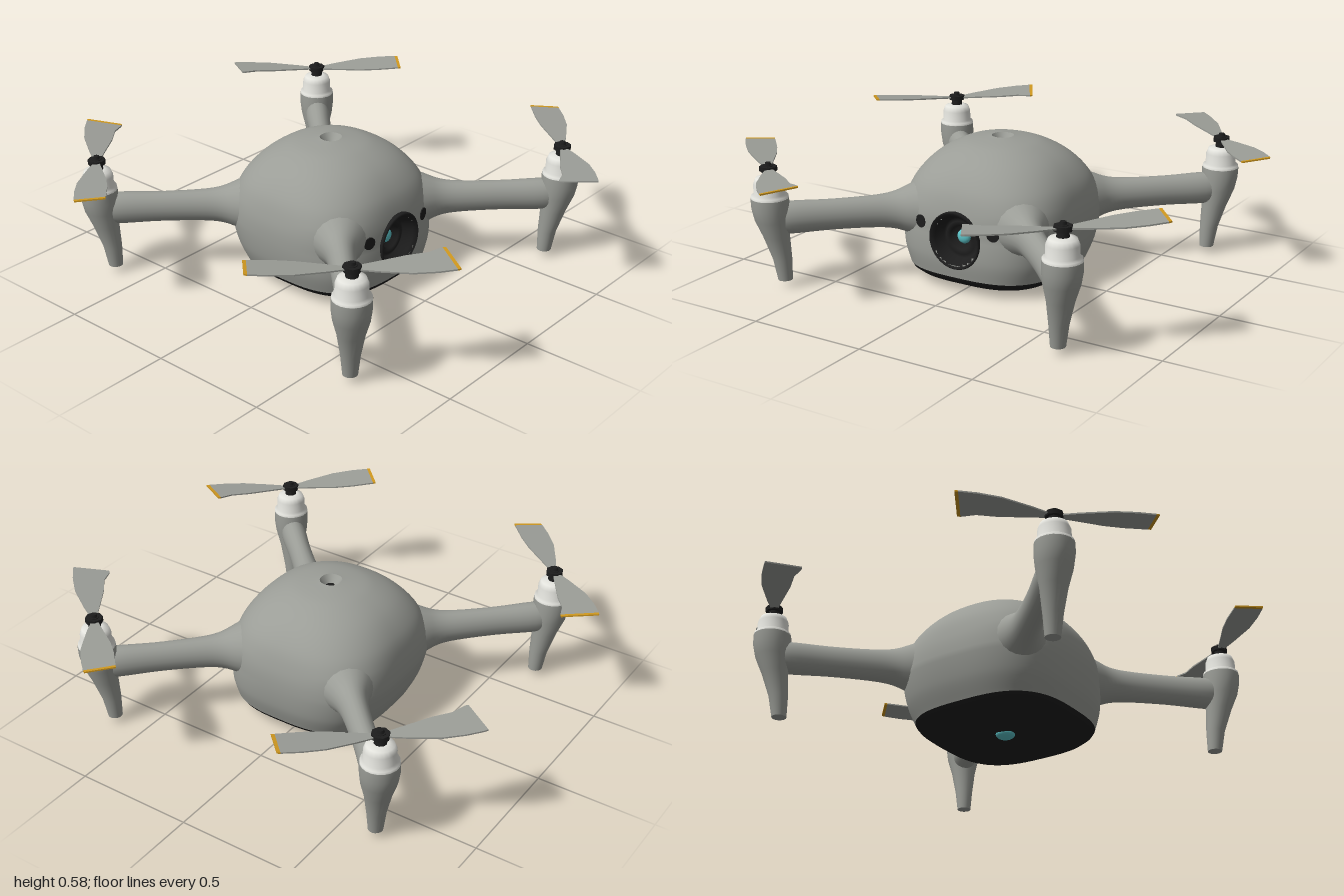
import * as THREE from 'three';

const mat = (name, color, side = THREE.FrontSide) => {
  const m = new THREE.MeshStandardMaterial({ color, side });
  m.name = name;
  return m;
};

// Skins a list of closed rings; quads whose centre satisfies skip() are left open
function loft(rings, skip) {
  const n = rings[0].length, pos = [], idx = [];
  rings.forEach(r => r.forEach(p => pos.push(p.x, p.y, p.z)));
  for (let i = 0; i < rings.length - 1; i++) {
    for (let j = 0; j < n; j++) {
      const k = (j + 1) % n;
      if (skip) {
        const mid = rings[i][j].clone().add(rings[i + 1][k]).multiplyScalar(0.5);
        if (skip(mid)) continue;
      }
      const a = i * n + j, b = i * n + k;
      idx.push(a, a + n, b, b, a + n, b + n);
    }
  }
  const g = new THREE.BufferGeometry();
  g.setAttribute('position', new THREE.Float32BufferAttribute(pos, 3));
  g.setIndex(idx);
  g.computeVertexNormals();
  return g;
}

const loop = (n, fn) => Array.from({ length: n }, (_, j) => fn((j / n) * Math.PI * 2));

// Rounded-square ring of the hull, rounder towards the top
function hullRing(a, y) {
  const n = y > 0.35 ? 3 - 0.8 * Math.min(1, (y - 0.35) / 0.2) : 3;
  const shift = -0.005 + 0.03 * Math.max(0, Math.min(1, (0.25 - y) / 0.2));
  return loop(112, t => {
    const c = Math.cos(t), s = Math.sin(t);
    const r = a / Math.pow(Math.abs(c) ** n + Math.abs(s) ** n, 1 / n);
    return new THREE.Vector3(r * c, y, r * s * 0.985 + shift);
  });
}

const spline = (pts, n) =>
  new THREE.SplineCurve(pts.map(p => new THREE.Vector2(...p))).getPoints(n);

export function createModel() {
  const model = new THREE.Group();
  const grey = mat('shell grey', 0x9b9d97);
  const white = mat('motor white', 0xe2e2dc);
  const black = mat('black', 0x1d1d1d, THREE.DoubleSide);
  const teal = mat('lens teal', 0x5cc3c8);
  const amber = mat('tip amber', 0xcf981f);

  const add = (parent, name, geo, material) => {
    const m = new THREE.Mesh(geo, material);
    m.name = name;
    parent.add(m);
    return m;
  };

  // Hull shell, open where the camera sits, with a small pit on top
  const hull = spline([[0.335, 0.07], [0.36, 0.15], [0.37, 0.25], [0.362, 0.34],
    [0.33, 0.43], [0.26, 0.51], [0.16, 0.563], [0.045, 0.584]], 56)
    .map(p => hullRing(p.x, p.y));
  hull.push(hullRing(0.045, 0.584), hullRing(0.022, 0.55));
  add(model, 'hull', loft(hull, p => p.z > 0 && Math.hypot(p.x, p.y - 0.23) < 0.108), grey);
  const pit = add(model, 'topPit', new THREE.CircleGeometry(0.028, 4), black);
  pit.rotation.x = -Math.PI / 2;
  pit.position.y = 0.553;

  // Black base with a recess for the downward lens
  const base = [[0, 0.04], [0.05, 0.04], [0.11, 0.03], [0.12, 0], [0.14, 0.006],
    [0.21, 0.01], [0.25, 0.015], [0.3, 0.035], [0.325, 0.055], [0.335, 0.07]];
  add(model, 'base', loft(base.map(p => hullRing(...p))), black);
  const belly = add(model, 'bellyLens', new THREE.SphereGeometry(0.04, 20, 12), teal);
  belly.scale.y = 0.5;
  belly.position.set(0, 0.038, 0.02);

  // Front camera bowl and lens
  const bowl = new THREE.LatheGeometry([[0, 0.285], [0.045, 0.285], [0.05, 0.315], [0.07, 0.315],
    [0.085, 0.31], [0.1, 0.352], [0.114, 0.37], [0.12, 0.364], [0.122, 0.33]]
    .map(p => new THREE.Vector2(...p)), 32);
  bowl.rotateX(Math.PI / 2);
  add(model, 'cameraBowl', bowl, black).position.y = 0.23;
  const lens = add(model, 'cameraLens', new THREE.SphereGeometry(0.03, 20, 14), teal);
  lens.scale.z = 0.6;
  lens.position.set(0, 0.23, 0.29);

  // Front sensors
  for (const s of [-1, 1]) {
    const g = new THREE.CylinderGeometry(0.027, 0.027, 0.03, 12);
    g.rotateX(Math.PI / 2);
    const m = add(model, 'sensor', g, black);
    m.position.set(s * 0.17, 0.28, 0.334);
    m.rotation.y = s * 0.23;
  }

  // Arm sections: distance from centre, half width, half height
  const armRings = spline([[0.32, 0.14], [0.39, 0.1], [0.46, 0.067], [0.55, 0.054],
    [0.72, 0.05], [0.88, 0.055], [0.95, 0.045]], 24)
    .map(p => loop(20, t => new THREE.Vector3(
      p.x, 0.295 + Math.cos(t) * (p.y * 0.75 + 0.027), -Math.sin(t) * p.y)));
  const armGeo = loft(armRings);

  // Motor pod tapering down into a leg: height, distance, radius
  const podRows = [[0.03, 0.912, 0], [0.03, 0.912, 0.03], [0.03, 0.912, 0.03], [0.12, 0.92, 0.039],
    [0.22, 0.94, 0.054], [0.29, 0.953, 0.071], [0.34, 0.958, 0.077], [0.385, 0.96, 0.077],
    [0.385, 0.96, 0.077], [0.385, 0.96, 0]];
  const podGeo = loft(podRows.map(([y, d, r]) => loop(20, t =>
    new THREE.Vector3(d + r * Math.cos(t), y, r * Math.sin(t)))));

  const motorGeo = new THREE.LatheGeometry([[0.076, 0.38], [0.075, 0.395], [0.064, 0.402],
    [0.063, 0.445], [0.054, 0.468], [0.03, 0.474], [0, 0.474]]
    .map(p => new THREE.Vector2(...p)), 20);

  // Thin blade plate: outline points are (across, along), side picks the direction
  const plate = (pts, side) => {
    const shape = new THREE.Shape(pts.map(([v, u]) => new THREE.Vector2(v, -side * u)));
    const g = new THREE.ExtrudeGeometry(shape, { depth: 0.006, bevelEnabled: false });
    g.rotateX(-Math.PI / 2);
    const p = g.attributes.position;
    for (let i = 0; i < p.count; i++) {
      p.setY(i, p.getY(i) + 0.502 + 0.05 * Math.abs(p.getZ(i)) + 0.08 * side * p.getX(i));
    }
    g.computeVertexNormals();
    return g;
  };

  const addBlade = (parent, side, left, right, tipMaterial) => {
    const l = [left[0], left[1] - 0.013], r = [right[0] + 0.003, right[1] - 0.013];
    const outline = [[-0.012, 0.015], [-0.03, 0.1], [-0.052, 0.2], [-0.06, 0.28], l, r,
      [0.068, 0.3], [0.064, 0.21], [0.035, 0.09], [0.012, 0.015]];
    add(parent, 'blade', plate(outline, side), grey);
    add(parent, 'bladeTip', plate([l, left, right, r], side), tipMaterial);
  };

  // Four arms, each with pod, motor and propeller
  for (const sx of [-1, 1]) for (const sz of [-1, 1]) {
    const arm = new THREE.Group();
    arm.name = (sz > 0 ? 'front' : 'back') + (sx > 0 ? 'Left' : 'Right') + 'Arm';
    arm.rotation.y = -Math.atan2(sz, sx);
    add(arm, 'boom', armGeo, grey);
    add(arm, 'podLeg', podGeo, grey);
    add(arm, 'motor', motorGeo, white).position.x = 0.96;

    const prop = new THREE.Group();
    prop.name = 'propeller';
    prop.position.x = 0.96;
    const outer = -sx * sz;
    addBlade(prop, outer, [-0.06, 0.388], [0.06, 0.386], amber);
    addBlade(prop, -outer, [-0.085, 0.347], [0.06, 0.382], sx < 0 ? amber : grey);
    add(prop, 'shaft', new THREE.CylinderGeometry(0.02, 0.026, 0.05, 10), black).position.y = 0.495;
    add(prop, 'hub', new THREE.CylinderGeometry(0.036, 0.036, 0.02, 8), black).position.y = 0.507;
    add(prop, 'nut', new THREE.CylinderGeometry(0.012, 0.016, 0.016, 6), black).position.y = 0.524;
    arm.add(prop);
    model.add(arm);
  }
  return model;
}
